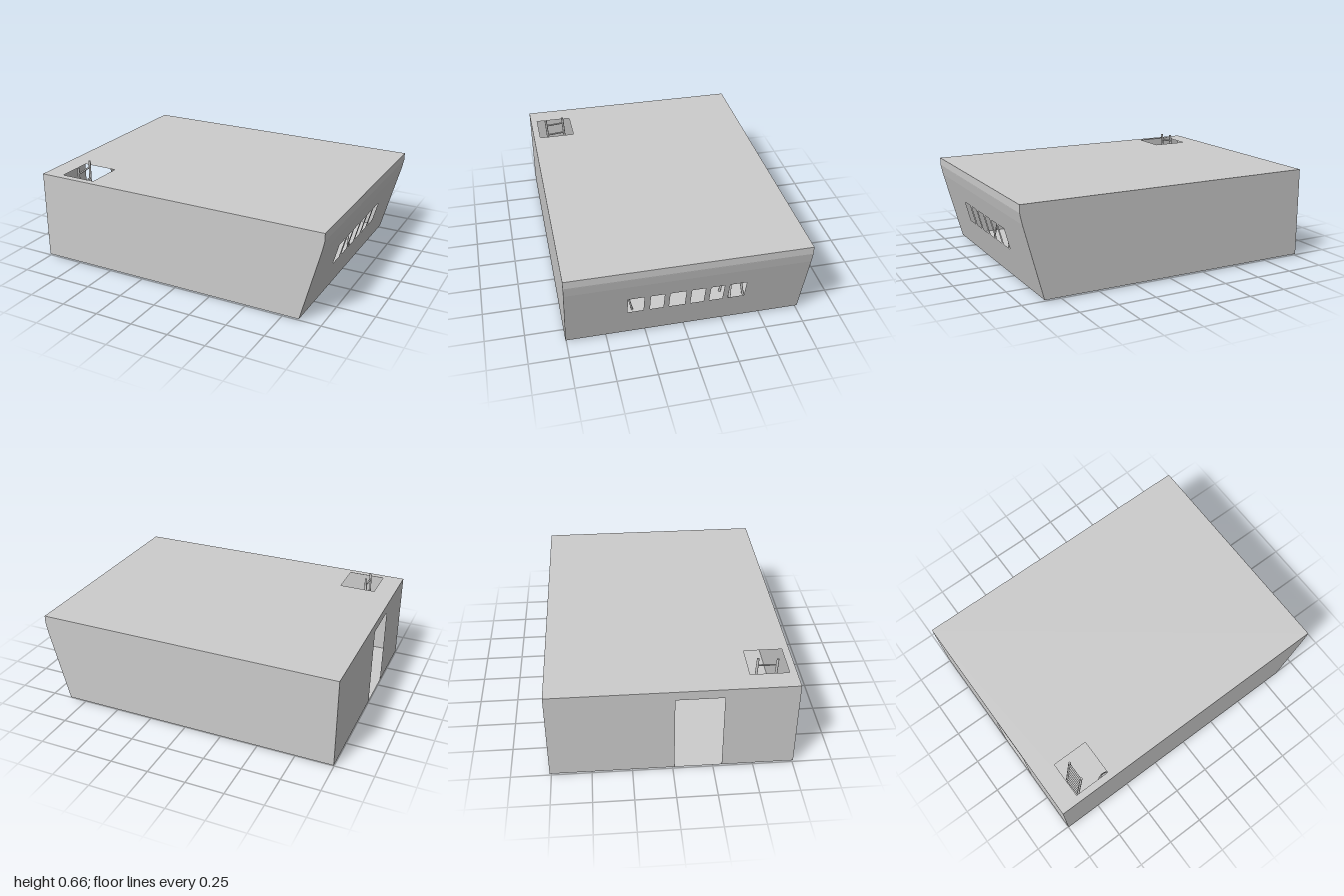
import * as THREE from 'three';

const shell = new THREE.MeshStandardMaterial({ color: 0xcccccc, side: THREE.DoubleSide });
const flat = new THREE.MeshStandardMaterial({ color: 0xcccccc, side: THREE.DoubleSide, flatShading: true });

const BACK = -0.76, FRONT = 0.755, FLOOR = 0.01, ROOF = 0.6;
// Outline of the sloping wall, bottom to top (x, y)
const slope = [[0.86, FLOOR], [0.985, 0.48], [1, 0.55], [1, ROOF]];

function add(parent, name, geometry, material = flat) {
  const mesh = new THREE.Mesh(geometry, material);
  mesh.name = name;
  parent.add(mesh);
  return mesh;
}

const rect = (u0, u1, v0, v1) =>
  [[u0, v0], [u1, v0], [u1, v1], [u0, v1]].map(p => new THREE.Vector2(...p));

// Thin flat panel drawn in (u, v), then placed in space by a rule
function panel(outline, holes, place) {
  const shape = new THREE.Shape(outline);
  holes.forEach(h => shape.holes.push(new THREE.Path(h)));
  const g = new THREE.ShapeGeometry(shape);
  const p = g.attributes.position;
  for (let i = 0; i < p.count; i++) p.setXYZ(i, ...place(p.getX(i), p.getY(i)));
  g.computeVertexNormals();
  return g;
}

// Round bar between two points
function bar(parent, name, a, b, radius, sides = 8) {
  const start = new THREE.Vector3(...a), end = new THREE.Vector3(...b);
  const dir = end.clone().sub(start);
  const mesh = add(parent, name, new THREE.CylinderGeometry(radius, radius, dir.length(), sides), shell);
  mesh.position.copy(start).add(end).multiplyScalar(0.5);
  mesh.quaternion.setFromUnitVectors(new THREE.Vector3(0, 1, 0), dir.normalize());
  return mesh;
}

function cabin() {
  const g = new THREE.Group();
  g.name = 'cabin';
  add(g, 'floor', panel(rect(-1, 0.86, BACK, FRONT), [], (u, v) => [u, FLOOR, v]));
  add(g, 'roof', panel(rect(-1, 1, BACK, FRONT), [rect(-0.865, -0.625, 0.47, 0.71)], (u, v) => [u, ROOF, v]));

  // End walls follow the sloping outline
  const end = [[-1, FLOOR], ...slope, [-1, ROOF]].map(p => new THREE.Vector2(...p));
  add(g, 'frontWall', panel(end, [], (u, v) => [u, v, FRONT]));
  add(g, 'backWall', panel(end, [], (u, v) => [u, v, BACK]));

  // Wall with an open doorway down to the floor
  const door = [[BACK, FLOOR], [0.01, FLOOR], [0.01, 0.54], [0.305, 0.54], [0.305, FLOOR],
    [FRONT, FLOOR], [FRONT, ROOF], [BACK, ROOF]].map(p => new THREE.Vector2(...p));
  add(g, 'doorWall', panel(door, [], (u, v) => [-1, v, u]));

  // Sloping wall in three bands, with six windows in the lowest
  const windows = [[0.27, 0.37], [0.145, 0.23], [0.01, 0.11], [-0.11, -0.025], [-0.23, -0.145], [-0.37, -0.265]]
    .map(([a, b]) => rect(a, b, 0.22, 0.355));
  for (let i = 0; i < 3; i++) {
    const [x0, y0] = slope[i], [x1, y1] = slope[i + 1];
    add(g, i ? 'upperWindowWall' : 'windowWall', panel(rect(BACK, FRONT, y0, y1), i ? [] : windows,
      (u, v) => [x0 + (x1 - x0) * (v - y0) / (y1 - y0), v, u]));
  }
  bar(g, 'wallRail', [0.994, 0.545, -0.61], [0.994, 0.545, 0.75], 0.005);
  return g;
}

// Ladder leaning up through the hatch
function ladder() {
  const g = new THREE.Group();
  g.name = 'ladder';
  const feet = [[-0.825, 0.012, 0.49], [-0.82, 0, 0.612]];
  const tops = [[-0.785, 0.655, 0.53], [-0.785, 0.645, 0.652]];
  feet.forEach((f, i) => bar(g, 'ladderRail', f, tops[i], 0.008));
  for (let i = 1; i <= 8; i++) {
    const at = k => feet[k].map((c, j) => c + (tops[k][j] - c) * (i / 8 - 0.07));
    bar(g, 'rung', at(0), at(1), 0.006);
  }
  return g;
}

function barrel() {
  const profile = [[0, 0], [0.052, 0], [0.065, 0.045], [0.07, 0.09], [0.065, 0.135], [0.052, 0.18],
    [0.046, 0.18], [0.046, 0.173], [0, 0.173]].map(p => new THREE.Vector2(...p));
  const mesh = new THREE.Mesh(new THREE.LatheGeometry(profile, 24), shell);
  mesh.name = 'barrel';
  mesh.position.set(-0.61, FLOOR, 0.68);
  return mesh;
}

// Three splayed legs meeting near a centre
function tripod(parent, x, z, height, spread, top, radius) {
  for (let i = 0; i < 3; i++) {
    const a = i * Math.PI * 2 / 3 + 0.4, c = Math.cos(a), s = Math.sin(a);
    bar(parent, 'leg', [x + c * spread, 0.008, z + s * spread], [x + c * top, height, z + s * top], radius);
  }
}

// Wide bowl on a three-legged stand
function bowlStand() {
  const g = new THREE.Group();
  g.name = 'bowlStand';
  const curve = Array.from({ length: 11 }, (_, i) => {
    const a = i / 10 * Math.PI / 2;
    return new THREE.Vector2(0.16 * Math.sin(a), 0.305 - 0.085 * Math.cos(a));
  });
  add(g, 'bowl', new THREE.LatheGeometry(curve, 32), shell).position.set(0.69, 0, -0.385);
  tripod(g, 0.69, -0.36, 0.23, 0.09, 0.05, 0.008);
  return g;
}

// Spyglass on a tripod beside the windows
function spyglass() {
  const g = new THREE.Group();
  g.name = 'spyglass';
  tripod(g, 0.68, 0.375, 0.31, 0.08, 0.01, 0.006);
  bar(g, 'spyglassTube', [0.61, 0.31, 0.375], [0.78, 0.335, 0.375], 0.018, 16);
  return g;
}

// Pair of lockers against the back wall
function lockers() {
  const g = new THREE.Group();
  g.name = 'lockers';
  for (const x of [-0.35, -0.22])
    add(g, 'locker', new THREE.BoxGeometry(0.132, 0.2, 0.115)).position.set(x, 0.107, -0.625);
  return g;
}

export function createModel() {
  const model = new THREE.Group();
  model.name = 'deckCabin';
  model.add(cabin(), ladder(), barrel(), bowlStand(), spyglass(), lockers());
  return model;
}
